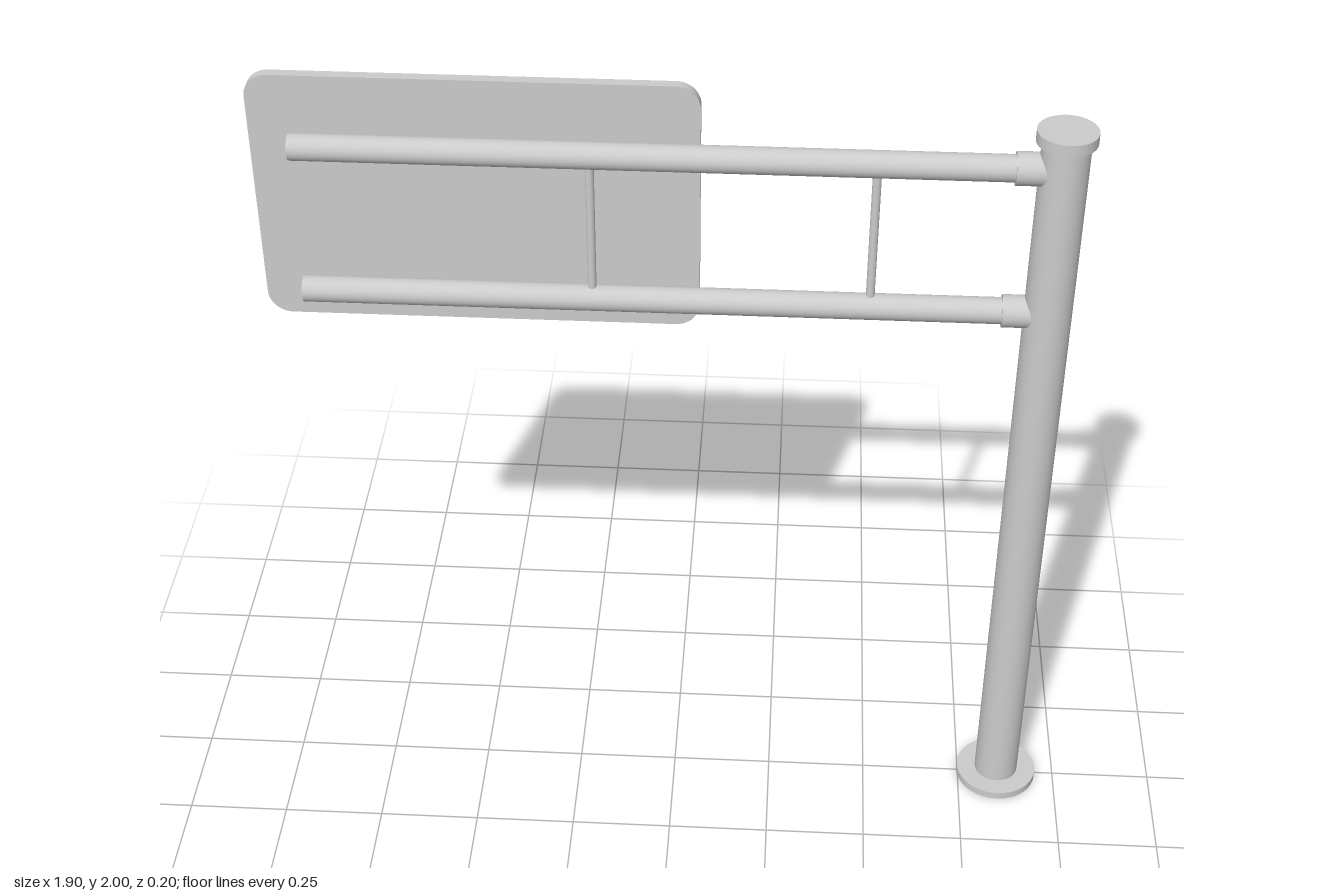
import * as THREE from 'three';

const material = new THREE.MeshStandardMaterial({ color: 0xcccccc });

export function createModel() {
  const model = new THREE.Group();
  model.name = 'cantileverSign';

  const add = (name, geometry, x, y, z = 0) => {
    const mesh = new THREE.Mesh(geometry, material);
    mesh.name = name;
    mesh.position.set(x, y, z);
    model.add(mesh);
    return mesh;
  };
  // Upright cylinder from y0 to y1
  const upright = (name, r, x, y0, y1, sides = 48) =>
    add(name, new THREE.CylinderGeometry(r, r, y1 - y0, sides), x, (y0 + y1) / 2);
  // Horizontal cylinder from x0 to x1
  const level = (name, r, y, x0, x1) => {
    const geometry = new THREE.CylinderGeometry(r, r, x1 - x0, 40).rotateZ(Math.PI / 2);
    return add(name, geometry, (x0 + x1) / 2, y);
  };

  // Post with base flange and cap
  const postX = 0.85;
  upright('baseFlange', 0.102, postX, 0, 0.02, 64);
  upright('post', 0.055, postX, 0.02, 1.91);
  upright('postCap', 0.068, postX, 1.91, 1.938);

  // Two arms, each held to the post by a collar
  const armHeights = [1.466, 1.84];
  for (const y of armHeights) {
    level('arm', 0.031, y, -0.858, 0.76);
    level('armCollar', 0.038, y, 0.745, 0.81);
  }

  // Thin struts between the arms
  for (const x of [-0.19, 0.445]) {
    upright('strut', 0.01, x, armHeights[0] + 0.025, armHeights[1] - 0.025, 24);
  }

  // Rounded sign panel behind the arms
  const w = 1.007 / 2, h = 0.622 / 2, r = 0.055;
  const outline = new THREE.Shape();
  outline.absarc(w - r, h - r, r, 0, Math.PI / 2);
  outline.absarc(-w + r, h - r, r, Math.PI / 2, Math.PI);
  outline.absarc(-w + r, -h + r, r, Math.PI, Math.PI * 1.5);
  outline.absarc(w - r, -h + r, r, Math.PI * 1.5, Math.PI * 2);
  const panel = new THREE.ExtrudeGeometry(outline, { depth: 0.025, bevelEnabled: false, curveSegments: 12 });
  add('signPanel', panel, -0.449, 1.689, -0.056);

  return model;
}
